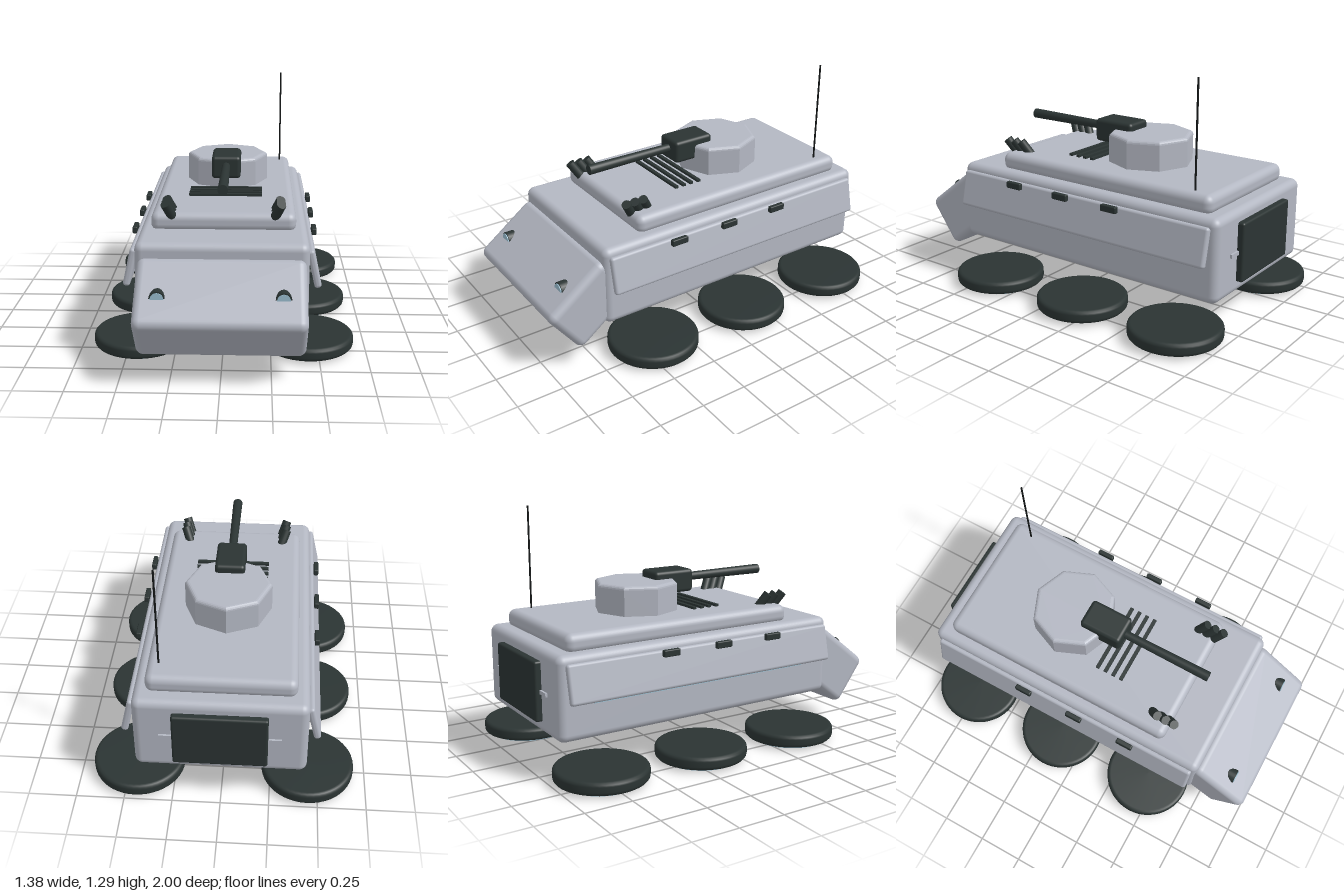
import * as THREE from 'three';
import { RoundedBoxGeometry } from 'three/addons/geometries/RoundedBoxGeometry.js';

const material = (name, color) => {
  const m = new THREE.MeshStandardMaterial({ color });
  m.name = name;
  return m;
};

export function createModel() {
  const model = new THREE.Group();
  model.name = 'armouredVehicle';
  const armour = material('armour grey', 0xb3b7c2);
  const dark = material('dark rubber', 0x2b3433);
  const black = material('antenna black', 0x141717);
  const glass = material('pale blue', 0x9cc0d2);

  const add = (name, geometry, mat, x = 0, y = 0, z = 0) => {
    const mesh = new THREE.Mesh(geometry, mat);
    mesh.name = name;
    mesh.position.set(x, y, z);
    model.add(mesh);
    return mesh;
  };
  const rounded = (w, h, d, r) => new RoundedBoxGeometry(w, h, d, 4, r);
  const cylinder = (rTop, rBottom, h, sides = 24) => new THREE.CylinderGeometry(rTop, rBottom, h, sides);

  // Hull, raised deck and sloped nose
  add('hull', rounded(0.87, 0.435, 1.665, 0.04), armour, 0, 0.4325, -0.1325);
  add('deck', rounded(0.75, 0.1, 1.345, 0.04), armour, 0, 0.685, -0.2125);
  add('nose', rounded(0.84, 0.3, 0.4, 0.04), armour, 0, 0.35, 0.766).rotation.x = 0.647;

  // Eight-sided turret with softened edges, a corner on each axis
  const octagon = new THREE.Shape(
    Array.from({ length: 8 }, (_, i) => {
      const a = (i * Math.PI) / 4;
      return new THREE.Vector2(0.208 * Math.cos(a), 0.208 * Math.sin(a));
    })
  );
  const turret = new THREE.ExtrudeGeometry(octagon, {
    depth: 0.153, bevelEnabled: true, bevelThickness: 0.02, bevelSize: 0.02, bevelSegments: 4,
  });
  turret.rotateX(-Math.PI / 2);
  add('turret', turret, armour, 0, 0.72, -0.29);

  // Gun housing and barrel, slightly wider at the muzzle
  add('gunHousing', rounded(0.16, 0.125, 0.24, 0.02), dark, 0, 0.872, -0.09);
  add('gunBarrel', cylinder(0.027, 0.022, 0.56), dark, 0, 0.88, 0.25).rotation.x = Math.PI / 2;

  // Engine grille
  for (let i = 0; i < 4; i++) {
    add('grilleBar', new THREE.BoxGeometry(0.4, 0.02, 0.02), dark, 0, 0.738, -0.037 + i * 0.048);
  }

  add('antenna', cylinder(0.005, 0.005, 0.57, 10), black, 0.315, 1.005, -0.765);

  // Rear door with its hinge bar
  add('rearDoor', rounded(0.475, 0.31, 0.045, 0.012), dark, 0, 0.435, -0.977);
  add('doorHinge', new THREE.BoxGeometry(0.61, 0.02, 0.02), armour, 0, 0.435, -0.966);

  // Flat-lying wheel: rounded tyre profile
  const tyreProfile = [[0, 0.012], [0.222, 0.012], [0.234, 0.015], [0.241, 0.023], [0.243, 0.033],
    [0.243, 0.06], [0.241, 0.069], [0.234, 0.077], [0.222, 0.08], [0, 0.08]];
  const tyre = new THREE.LatheGeometry(tyreProfile.map(([r, y]) => new THREE.Vector2(r, y)), 48);
  const hub = cylinder(0.203, 0.203, 0.03, 40);

  // Mirrored parts
  for (const s of [-1, 1]) {
    add('sideSkirt', rounded(0.036, 0.2, 1.6, 0.015), armour, s * 0.46, 0.514, -0.127).rotation.z = s * 0.22;
    add('sideStrip', new THREE.BoxGeometry(0.01, 0.015, 1.3), glass, s * 0.433, 0.404, -0.13);

    for (const z of [0.28, -0.04, -0.36]) {
      add('sidePeriscope', rounded(0.026, 0.036, 0.095, 0.006), dark, s * 0.475, 0.6, z);
    }

    for (let i = 0; i < 3; i++) {
      const tube = add('smokeTube', cylinder(0.025, 0.025, 0.1, 16), dark, s * 0.28, 0.752, 0.36 + i * 0.05);
      tube.rotation.set(0.55, 0, -s * 0.33);
    }

    // Headlights set into the slope
    add('headlightCasing', cylinder(0.04, 0.04, 0.1), dark, s * 0.303, 0.437, 0.845).rotation.x = Math.PI / 2;
    add('headlightLens', cylinder(0.033, 0.033, 0.008), glass, s * 0.303, 0.437, 0.896).rotation.x = Math.PI / 2;

    for (const z of [0.43, -0.163, -0.752]) {
      add('tyre', tyre, dark, s * 0.446, 0, z);
      add('wheelHub', hub, glass, s * 0.446, 0.015, z);
    }
  }
  return model;
}
